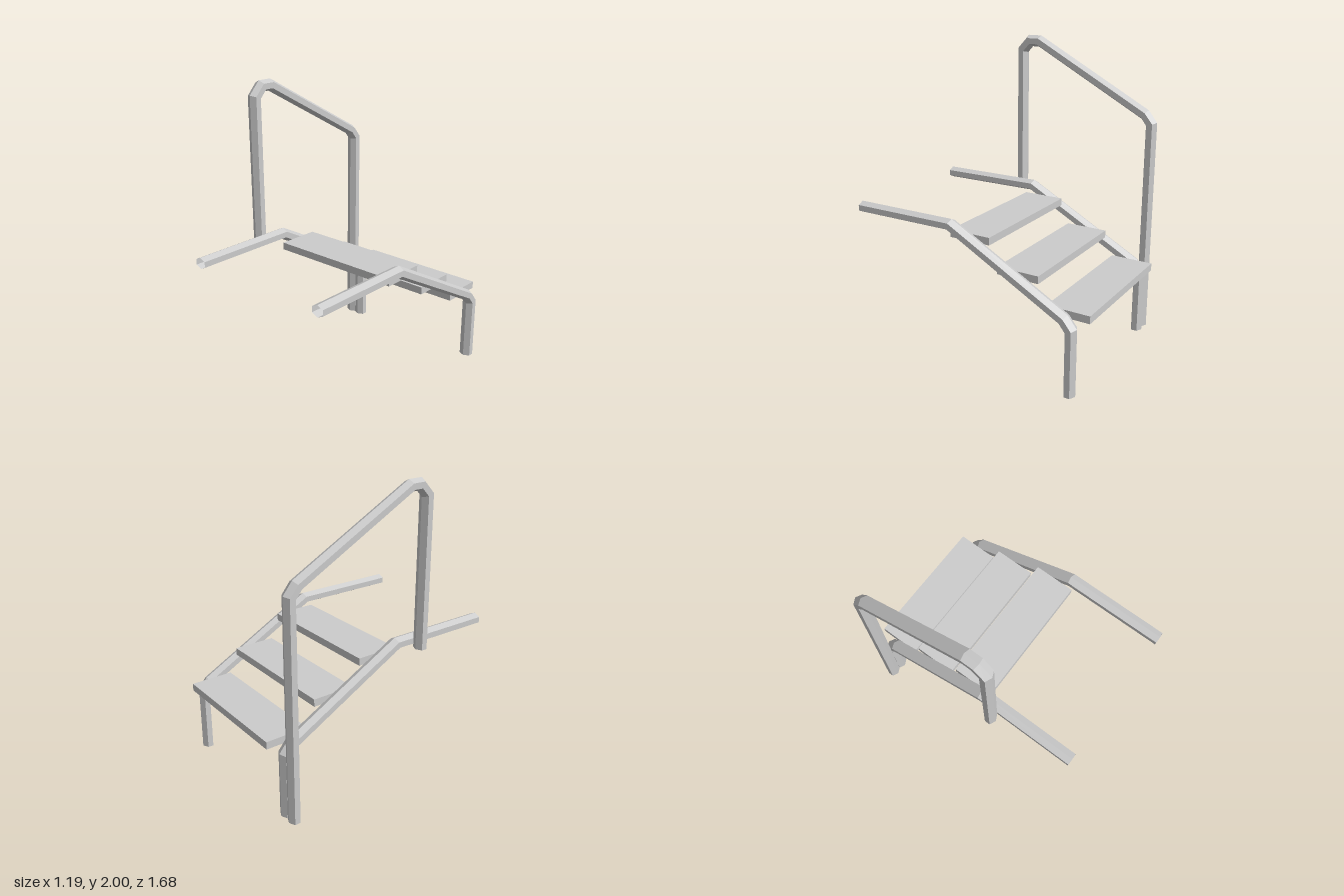
import * as THREE from 'three';

const metal = new THREE.MeshStandardMaterial({ color: 0xcccccc, flatShading: true, side: THREE.DoubleSide });
const HALF_W = 0.0415; // half width across x
const HALF_T = 0.039; // half thickness in the bending plane

// Six-sided section: [x, offset along the in-plane normal], ridges on the normal
const SECTION = [[0, 1], [1, 0.5], [1, -0.5], [0, -1], [-1, -0.5], [-1, 0.5]]
  .map(([x, n]) => [x * HALF_W, n * HALF_T]);

// Open hexagonal tube swept along a [z, y] path with mitred bends
function hexTube(name, x, path) {
  const pts = path.map(([z, y]) => new THREE.Vector2(z, y));
  const rings = pts.map((p, i) => {
    const a = p.clone().sub(pts[Math.max(i - 1, 0)]).normalize();
    const b = pts[Math.min(i + 1, pts.length - 1)].clone().sub(p).normalize();
    const t = a.clone().add(b).normalize();
    const mitre = 1 / Math.max(a.dot(t), b.dot(t));
    // paths run from front to back, so this normal points up and outward
    const nz = t.y * mitre, ny = -t.x * mitre;
    return SECTION.map(([sx, n]) => [x + sx, p.y + ny * n, p.x + nz * n]);
  });
  const pos = [];
  for (let i = 0; i < rings.length - 1; i++) {
    for (let j = 0; j < 6; j++) {
      const k = (j + 1) % 6;
      const a = rings[i][j], b = rings[i][k], c = rings[i + 1][k], d = rings[i + 1][j];
      pos.push(...a, ...b, ...c, ...a, ...c, ...d);
    }
  }
  const geo = new THREE.BufferGeometry();
  geo.setAttribute('position', new THREE.Float32BufferAttribute(pos, 3));
  geo.computeVertexNormals();
  const mesh = new THREE.Mesh(geo, metal);
  mesh.name = name;
  return mesh;
}

export function createModel() {
  const model = new THREE.Group();
  model.name = 'steps';

  // Side rails: level at the front, sloping down to a rear leg
  const railPath = [[0.84, 0.928], [0.118, 0.931], [-0.69, 0.493], [-0.739, 0.432], [-0.739, 0]];
  model.add(hexTube('rightSideRail', -0.473, railPath));
  model.add(hexTube('leftSideRail', 0.552, railPath));

  // Handrail beside the right rail, with a short front post and a full rear post
  model.add(hexTube('handrail', -0.557, [
    [0.253, 0.893], [0.253, 1.895], [0.192, 1.961], [0.118, 1.961],
    [-0.69, 1.523], [-0.739, 1.462], [-0.739, 0],
  ]));

  // Treads between the rails
  const treads = [[0.855, 0.004], [0.678, -0.345], [0.506, -0.695]];
  treads.forEach(([y, z], i) => {
    const tread = new THREE.Mesh(new THREE.BoxGeometry(0.943, 0.05, 0.292), metal);
    tread.position.set(0.0395, y, z);
    tread.name = `tread${i + 1}`;
    model.add(tread);
  });

  return model;
}
